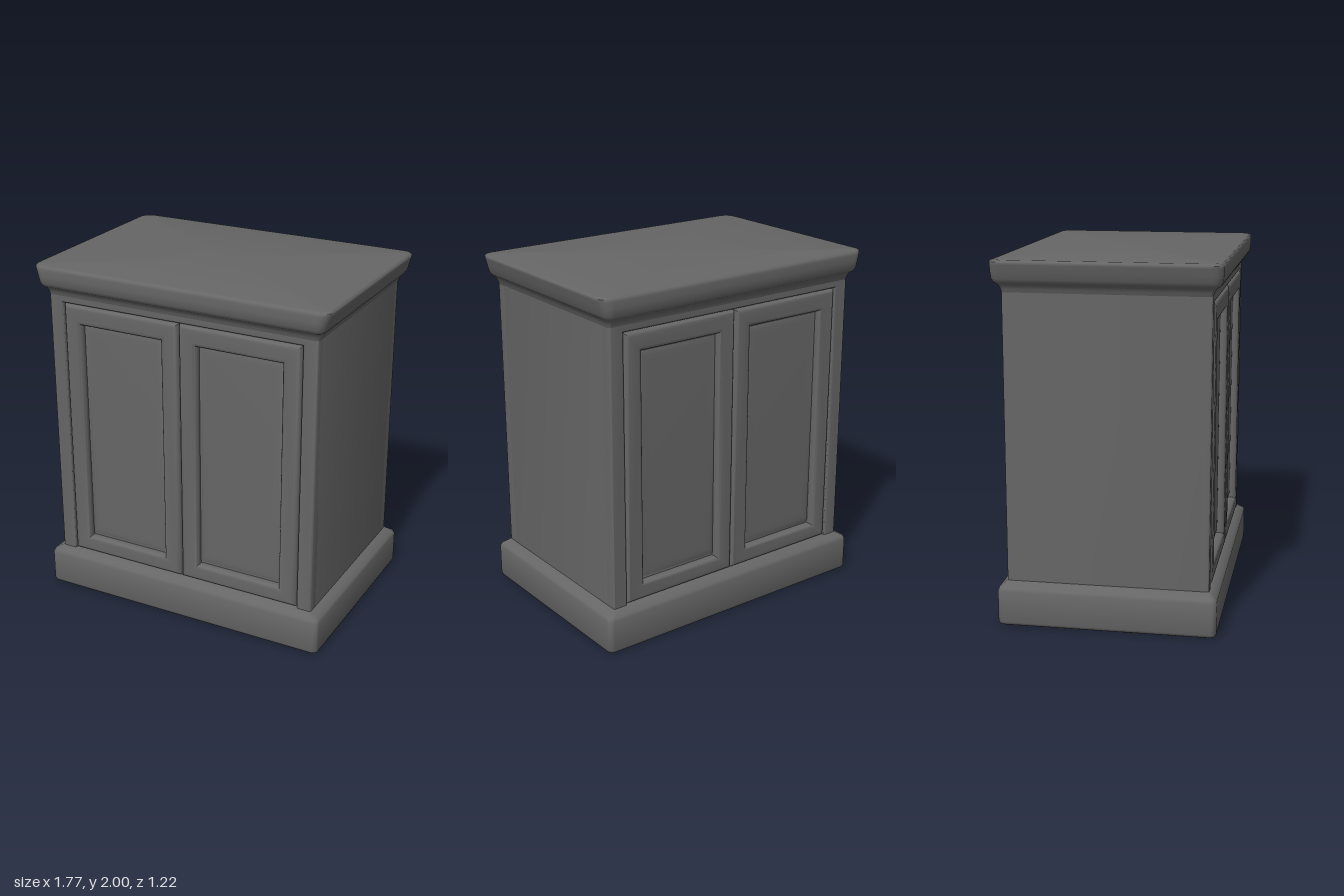
import * as THREE from 'three';
import { toCreasedNormals } from 'three/addons/utils/BufferGeometryUtils.js';

const paint = new THREE.MeshStandardMaterial({ name: 'dark grey paint', color: 0x666666 });

function mesh(name, geometry, crease = 0.7) {
  const m = new THREE.Mesh(toCreasedNormals(geometry, crease), paint);
  m.name = name;
  return m;
}

// Stacked rounded rectangles; each level is [y, half width, half depth, corner radius]
function loft(levels) {
  const steps = 6, n = 4 * (steps + 1), pos = [], idx = [];
  for (const [y, hx, hz, r] of levels) {
    for (let c = 0; c < 4; c++) {
      const sx = c === 0 || c === 3 ? 1 : -1, sz = c < 2 ? 1 : -1;
      for (let i = 0; i <= steps; i++) {
        const a = (c + i / steps) * Math.PI / 2;
        pos.push(sx * (hx - r) + r * Math.cos(a), y, sz * (hz - r) + r * Math.sin(a));
      }
    }
  }
  const last = levels.length - 1, base = levels.length * n;
  pos.push(0, levels[0][0], 0, 0, levels[last][0], 0);
  for (let i = 0; i < n; i++) {
    const j = (i + 1) % n;
    for (let l = 0; l < last; l++) {
      const a = l * n + i, b = l * n + j;
      idx.push(a, a + n, b, b, a + n, b + n);
    }
    idx.push(base, i, j, base + 1, last * n + j, last * n + i);
  }
  const g = new THREE.BufferGeometry();
  g.setAttribute('position', new THREE.Float32BufferAttribute(pos, 3));
  g.setIndex(idx);
  return g;
}

function rect(target, x0, y0, x1, y1) {
  target.moveTo(x0, y0);
  target.lineTo(x1, y0);
  target.lineTo(x1, y1);
  target.lineTo(x0, y1);
  target.closePath();
  return target;
}

// Flat frame with softened edges; outer and inner are [x0, y0, x1, y1], z runs back to front
function frame(outer, inner, back, front, bevel) {
  const [a, b, c, d] = outer, [e, f, g, h] = inner;
  const shape = rect(new THREE.Shape(), a + bevel, b + bevel, c - bevel, d - bevel);
  shape.holes.push(rect(new THREE.Path(), e - bevel, f - bevel, g + bevel, h + bevel));
  const geo = new THREE.ExtrudeGeometry(shape, {
    depth: front - back - 2 * bevel, bevelEnabled: true,
    bevelSize: bevel, bevelThickness: bevel, bevelSegments: 5,
  });
  return geo.translate(0, 0, back + bevel);
}

// Face frame and a pair of panelled doors, facing +z
function doorFace(name) {
  const face = new THREE.Group();
  face.name = name;
  face.add(mesh('faceFrame', frame([-0.815, 0.15, 0.815, 1.9], [-0.728, 0.242, 0.728, 1.788], 0.48, 0.555, 0.012)));
  for (const s of [-1, 1]) {
    const span = (x0, y0, x1, y1) => s > 0 ? [x0, y0, x1, y1] : [-x1, y0, -x0, y1];
    const door = new THREE.Group();
    door.name = s > 0 ? 'leftDoor' : 'rightDoor';
    door.add(mesh('doorFrame', frame(span(0.003, 0.247, 0.722, 1.782), span(0.11, 0.345, 0.615, 1.67), 0.49, 0.56, 0.025)));
    // Recessed panel with a gently sloping border
    const panel = rect(new THREE.Shape(), 0.17, 0.42, 0.555, 1.6);
    const geo = new THREE.ExtrudeGeometry(panel, {
      depth: 0.01, bevelEnabled: true, bevelSize: 0.06, bevelThickness: 0.007, bevelSegments: 3,
    });
    geo.translate(s > 0 ? 0 : -0.725, 0, 0.508);
    door.add(mesh('doorPanel', geo));
    face.add(door);
  }
  return face;
}

export function createModel() {
  const cabinet = new THREE.Group();
  cabinet.name = 'cabinet';

  // Plinth
  cabinet.add(mesh('plinth', loft([
    [0, 0.86, 0.585, 0.03], [0.006, 0.87, 0.595, 0.03], [0.02, 0.875, 0.6, 0.03],
    [0.195, 0.875, 0.6, 0.03], [0.212, 0.868, 0.593, 0.03],
    [0.225, 0.84, 0.575, 0.025], [0.242, 0.815, 0.555, 0.012],
  ]), 0.9));

  // Carcass between the two door faces
  cabinet.add(mesh('carcass', loft([[0.15, 0.815, 0.513, 0.005], [1.9, 0.815, 0.513, 0.005]])));
  const back = doorFace('backFace');
  back.rotation.y = Math.PI;
  cabinet.add(doorFace('frontFace'), back);

  // Moulded top
  cabinet.add(mesh('top', loft([
    [1.82, 0.813, 0.553, 0.012], [1.845, 0.822, 0.56, 0.02], [1.865, 0.832, 0.572, 0.03],
    [1.88, 0.85, 0.594, 0.04], [1.9, 0.862, 0.606, 0.05], [1.94, 0.872, 0.61, 0.055],
    [1.975, 0.884, 0.61, 0.06], [1.99, 0.887, 0.608, 0.06], [1.997, 0.882, 0.602, 0.06],
    [2, 0.868, 0.59, 0.055],
  ]), 0.9));

  return cabinet;
}
